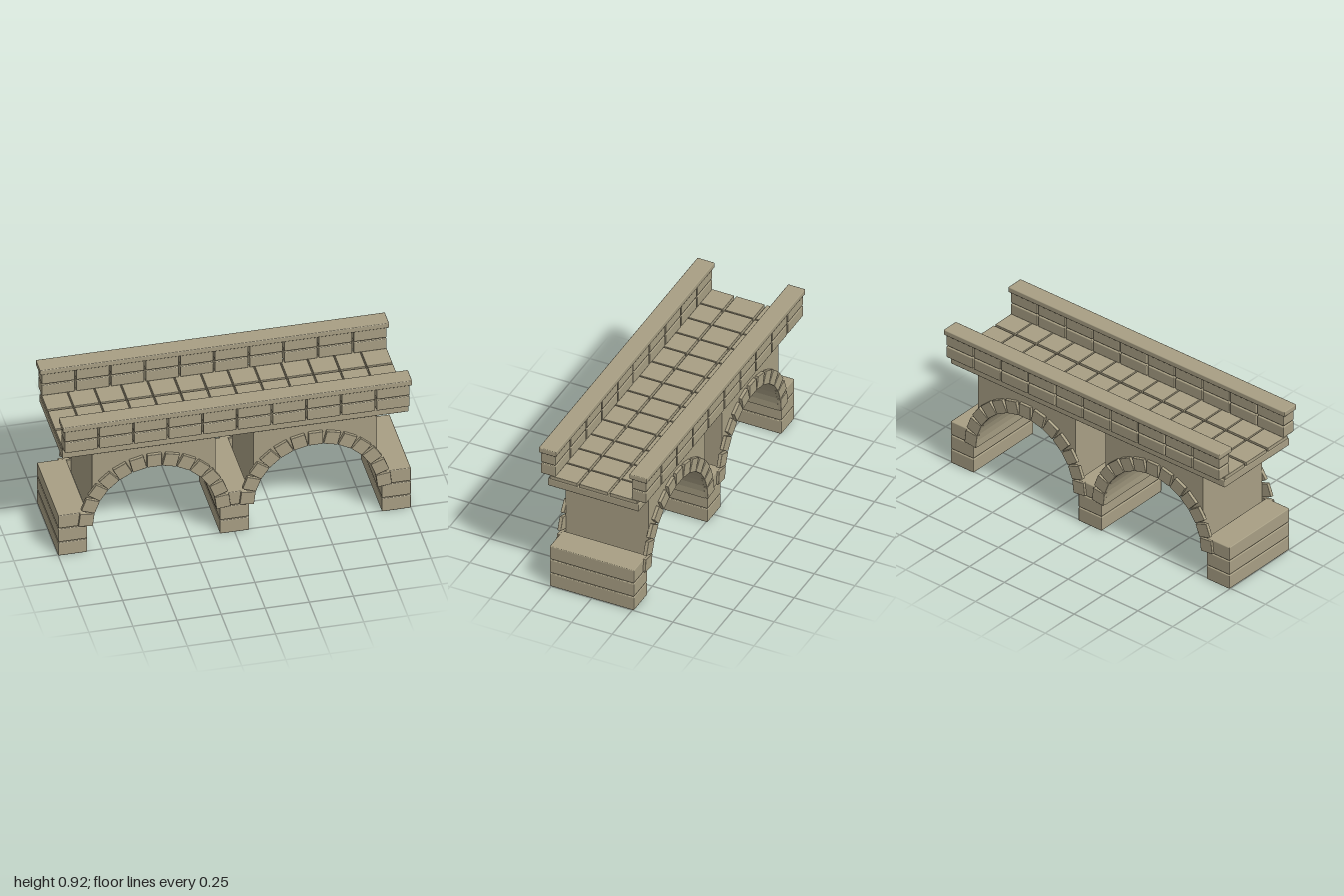
import * as THREE from 'three';
import { RoundedBoxGeometry } from 'three/addons/geometries/RoundedBoxGeometry.js';

export function createModel() {
  const bridge = new THREE.Group();
  bridge.name = 'stoneBridge';
  const stone = new THREE.MeshStandardMaterial({ color: 0xa89f84 });
  stone.name = 'sandstone';

  function group(name) {
    const g = new THREE.Group();
    g.name = name;
    bridge.add(g);
    return g;
  }

  // A stone with slightly worn edges, given by its extents on each axis
  function block(parent, name, [x0, x1], [y0, y1], [z0, z1], radius = 0.005) {
    const geo = new RoundedBoxGeometry(x1 - x0, y1 - y0, z1 - z0, 1, radius);
    const mesh = new THREE.Mesh(geo, stone);
    mesh.name = name;
    mesh.position.set((x0 + x1) / 2, (y0 + y1) / 2, (z0 + z1) / 2);
    parent.add(mesh);
    return mesh;
  }

  // Piers: three courses each
  const piers = group('piers');
  for (const [x0, x1] of [[-1, -0.835], [-0.083, 0.083], [0.835, 1]]) {
    for (let i = 0; i < 3; i++) {
      const y = i * 0.0925;
      block(piers, 'pierCourse', [x0, x1], [y, y + 0.087], [-0.26, 0.26]);
    }
  }

  // Arches: a solid wall with a half-round opening, ringed by wedge stones
  const springY = 0.18, radius = 0.35, archX = 0.457, segments = 24;
  const outline = [new THREE.Vector2(-radius, 0.672 - springY)];
  for (let i = 0; i <= segments; i++) {
    const a = Math.PI * (1 - i / segments);
    outline.push(new THREE.Vector2(radius * Math.cos(a), radius * Math.sin(a)));
  }
  outline.push(new THREE.Vector2(radius, 0.672 - springY));
  const wallGeo = new THREE.ExtrudeGeometry(new THREE.Shape(outline), { depth: 0.512, bevelEnabled: false });
  wallGeo.translate(0, 0, -0.256);

  const stones = 13;
  for (const side of [-1, 1]) {
    const arch = group(side < 0 ? 'rightArch' : 'leftArch');
    arch.position.set(side * archX, springY, 0);
    const wall = new THREE.Mesh(wallGeo, stone);
    wall.name = 'archWall';
    arch.add(wall);
    for (const face of [-1, 1]) {
      for (let i = 0; i < stones; i++) {
        const a = (Math.PI * (i + 0.5)) / stones;
        const r = radius + 0.039;
        const v = block(arch, 'archStone', [-0.041, 0.041], [-0.041, 0.041], [-0.011, 0.011], 0.003);
        v.position.set(r * Math.cos(a), r * Math.sin(a), face * 0.264);
        v.rotation.z = a;
      }
    }
  }

  // Deck slab and paving
  const deck = group('deck');
  block(deck, 'deckSlab', [-0.982, 0.982], [0.671, 0.718], [-0.28, 0.28]);
  const columns = 13, pitch = 1.964 / columns;
  for (let i = 0; i < columns; i++) {
    const x = -0.982 + i * pitch;
    for (const z of [-0.27, -0.087, 0.1]) {
      const depth = z === -0.087 ? 0.174 : 0.17;
      block(deck, 'pavingStone', [x + 0.004, x + pitch - 0.004], [0.712, 0.739], [z, z + depth], 0.002);
    }
  }

  // Parapets: two courses of ten stones under a long coping
  for (const side of [-1, 1]) {
    const parapet = group(side < 0 ? 'backParapet' : 'frontParapet');
    const mid = side * 0.2795;
    const across = (half) => [mid - half, mid + half];
    for (let i = 0; i < 10; i++) {
      const x = -0.982 + i * 0.1964;
      for (const y of [0.738, 0.8145]) {
        block(parapet, 'parapetStone', [x + 0.004, x + 0.1924], [y, y + 0.069], across(0.045));
      }
    }
    block(parapet, 'coping', [-0.99, 0.99], [0.884, 0.917], across(0.0535));
  }

  return bridge;
}
